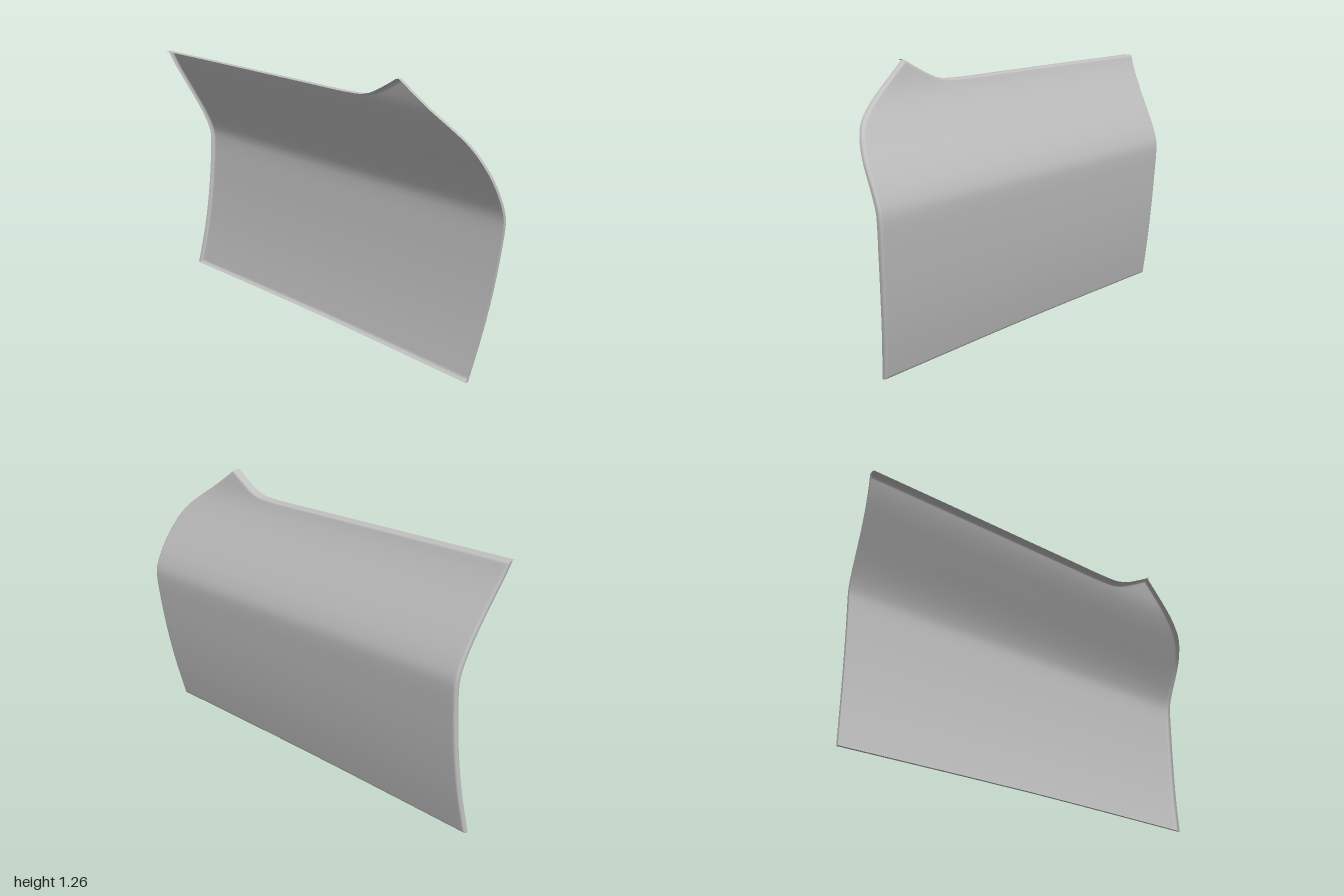
import * as THREE from 'three';

const curve = (pts) => new THREE.SplineCurve(pts.map(([z, y]) => new THREE.Vector2(z, y)));

// Outline of the panel as (z, y) edge curves
const front = curve([[0.92, 0], [0.968, 0.35], [0.995, 0.62], [1, 0.76], [0.985, 0.91], [0.94, 1.02], [0.87, 1.09], [0.75, 1.176], [0.63, 1.265]]);
const back = curve([[-0.975, 0.01], [-0.955, 0.25], [-0.944, 0.5], [-0.945, 0.75], [-0.965, 0.98], [-1, 1.195]]);
const top = curve([[0.63, 1.265], [0.55, 1.222], [0.46, 1.183], [0.35, 1.17], [0, 1.176], [-0.5, 1.186], [-1, 1.195]]);
const bottom = curve([[0.92, 0], [0, 0.013], [-0.975, 0.01]]);

// Sideways bulge of the panel by height, with a soft shoulder crease
const heights = [-0.1, 0, 0.2, 0.4, 0.6, 0.7, 0.745, 0.78, 0.83, 0.9, 1, 1.12, 1.19, 1.31, 1.4];
const bulges = [0.027, 0.048, 0.085, 0.112, 0.13, 0.136, 0.135, 0.126, 0.107, 0.073, 0.019, -0.044, -0.073, -0.1, -0.12];
const profile = new THREE.CubicInterpolant(heights, bulges, 1);

const ROUND = 0.012;

// Sample positions from 0 to 1, denser at both ends for the rounded edges
function samples(n, length) {
  const e = [0, 0.05, 0.18, 0.4, 0.7, 1].map((k) => (k * ROUND) / length);
  const mid = [];
  for (let i = 1; i < n; i++) mid.push(i / n);
  return [...e, ...mid, ...e.map((k) => 1 - k).reverse()];
}

function buildSheet(rows, material, name) {
  const w = rows[0].length;
  const pos = [], index = [];
  rows.forEach((row) => row.forEach((p) => pos.push(p.x, p.y, p.z)));
  for (let j = 0; j < rows.length - 1; j++) {
    for (let i = 0; i < w - 1; i++) {
      const a = j * w + i, c = a + w;
      index.push(a, a + 1, c, a + 1, c + 1, c);
    }
  }
  const g = new THREE.BufferGeometry();
  g.setAttribute('position', new THREE.Float32BufferAttribute(pos, 3));
  g.setIndex(index);
  g.computeVertexNormals();
  const mesh = new THREE.Mesh(g, material);
  mesh.name = name;
  return mesh;
}

export function createModel() {
  const group = new THREE.Group();
  group.name = 'doorPanel';
  const grey = new THREE.MeshStandardMaterial({ color: 0xc0c0c0, side: THREE.DoubleSide });
  grey.name = 'panel grey';

  const us = samples(56, 1.9), vs = samples(56, 1.22);
  const F = vs.map((v) => front.getPointAt(v)), B = vs.map((v) => back.getPointAt(v));
  const T = us.map((u) => top.getPointAt(u)), D = us.map((u) => bottom.getPointAt(u));
  const [c00, c10, c01, c11] = [bottom.getPoint(0), bottom.getPoint(1), top.getPoint(0), top.getPoint(1)];

  // Outer skin: the outline filled by blending its edges, then bulged sideways
  const rows = vs.map((v, j) => us.map((u, i) => {
    const blend = (k) => (1 - v) * D[i][k] + v * T[i][k] + (1 - u) * F[j][k] + u * B[j][k]
      - (1 - u) * (1 - v) * c00[k] - u * (1 - v) * c10[k] - (1 - u) * v * c01[k] - u * v * c11[k];
    const z = blend('x'), y = blend('y');
    const d = Math.min(ROUND, Math.min(u, 1 - u) * 1.9, Math.min(v, 1 - v) * 1.22);
    const roll = ROUND - Math.sqrt(Math.max(0, ROUND ** 2 - (ROUND - d) ** 2));
    const x = profile.evaluate(y + 0.02 * y * (z + 1))[0] - roll;
    return new THREE.Vector3(x, y, z);
  }));
  group.add(buildSheet(rows, grey, 'outerSkin'));

  // Return flanges folded inward along every edge
  const last = us.length - 1;
  const edges = [
    ['bottomFlange', rows[0], 0.01],
    ['backFlange', rows.map((r) => r[last]), 0.01],
    ['topFlange', [...rows[rows.length - 1]].reverse(), 0.027],
    ['frontFlange', rows.map((r) => r[0]).reverse(), 0.01],
  ];
  for (const [name, edge, depth] of edges) {
    const inner = edge.map((p) => new THREE.Vector3(p.x - depth, p.y, p.z));
    group.add(buildSheet([inner, edge], grey, name));
  }
  return group;
}
